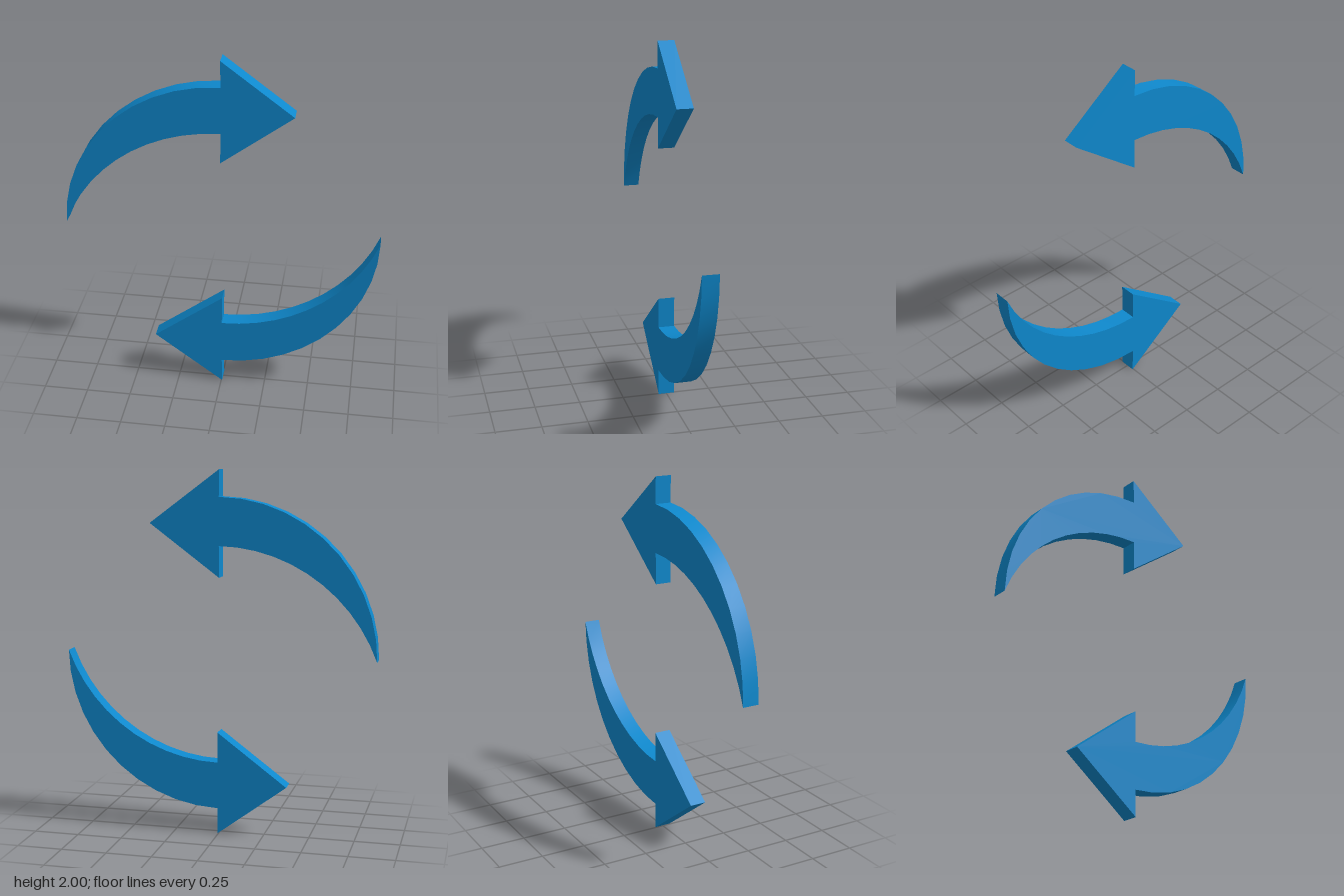
import * as THREE from 'three';
import { toCreasedNormals } from 'three/addons/utils/BufferGeometryUtils.js';

const DEPTH = 0.09;

// Outline of one arrow, relative to the centre of the pair
function arrowShape() {
  const outerR = 0.855, innerR = 0.912, innerY = -0.317;
  const tail = Math.asin(outerR / innerR);
  const shape = new THREE.Shape();
  // tapered curved shaft: outer arc, then the flatter inner arc back to the tail
  const steps = 11, outer = [], inner = [];
  for (let i = 0; i <= steps; i++) {
    const a = (1 - i / steps) * Math.PI / 2;
    outer.push(new THREE.Vector2(-outerR * Math.sin(a) - 0.003, outerR * Math.cos(a)));
    const b = (i / steps) * tail;
    inner.push(new THREE.Vector2(-innerR * Math.sin(b) - 0.003, innerY + innerR * Math.cos(b)));
  }
  inner.pop(); // meets the outer arc at the tail
  // triangular head between the arcs
  const head = [[-0.005, 1], [0.38, 0.712], [-0.005, 0.425]].map(([x, y]) => new THREE.Vector2(x, y));
  shape.setFromPoints([...outer, ...head, ...inner]);
  return shape;
}

export function createModel() {
  const group = new THREE.Group();
  group.name = 'circularArrows';
  const material = new THREE.MeshStandardMaterial({ color: 0x0e88cc });

  const flat = new THREE.ExtrudeGeometry(arrowShape(), { depth: DEPTH, bevelEnabled: false });
  flat.translate(0, 0, -DEPTH / 2);
  const geometry = toCreasedNormals(flat, Math.PI / 6);

  // the lower arrow is the upper one turned half round
  ['upperArrow', 'lowerArrow'].forEach((name, i) => {
    const arrow = new THREE.Mesh(geometry, material);
    arrow.name = name;
    arrow.position.y = 1;
    arrow.rotation.z = i * Math.PI;
    group.add(arrow);
  });
  return group;
}
